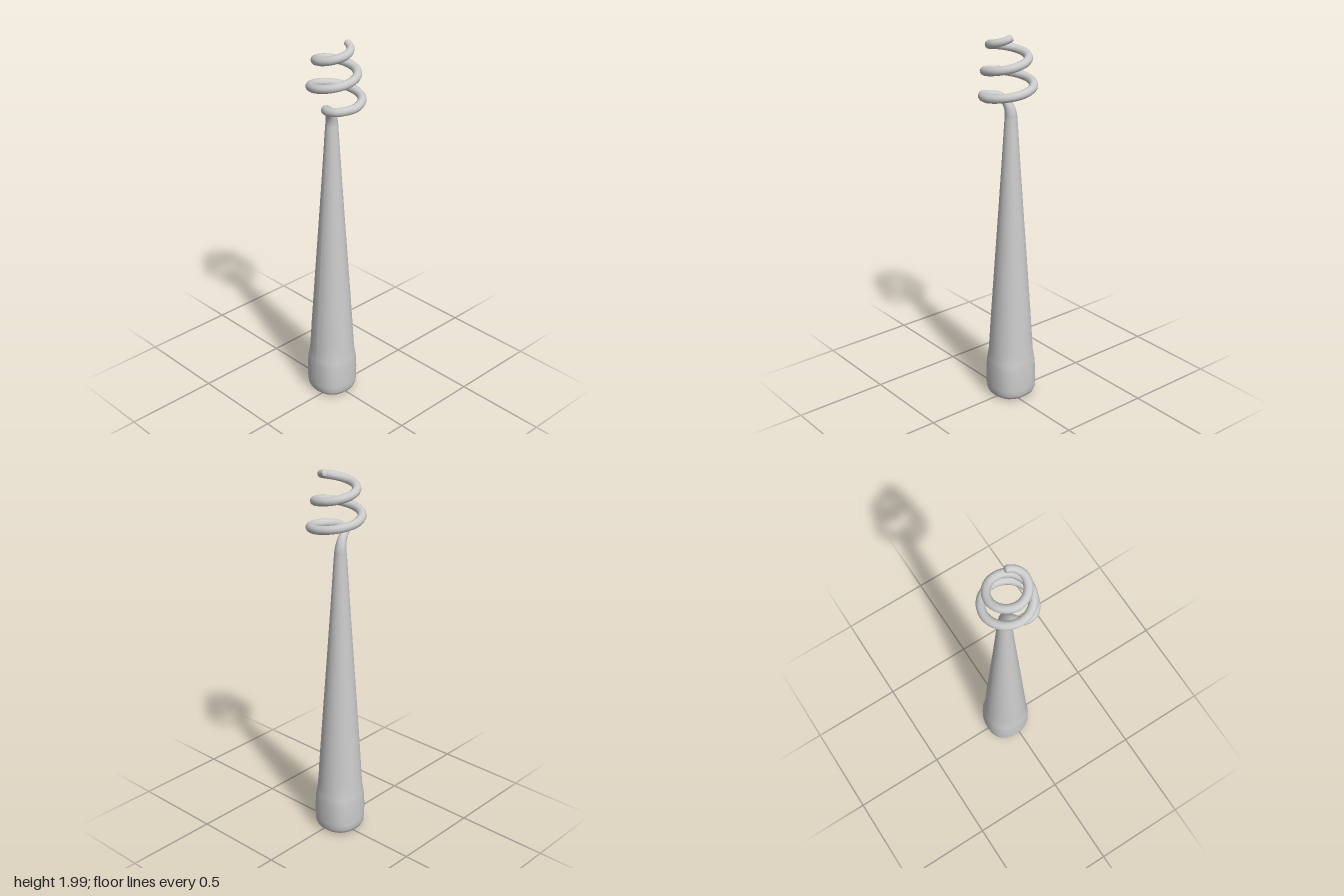
import * as THREE from 'three';

const material = new THREE.MeshStandardMaterial({ color: 0xcccccc });
const CX = -0.025, CZ = 0.005; // axis of the pole

// Turned pole whose foot is slightly squared
function makePole() {
  const profile = [
    [0, 0], [0.07, 0], [0.1, 0.002], [0.114, 0.012], [0.122, 0.03], [0.125, 0.06],
    [0.125, 0.13], [0.124, 0.19], [0.122, 0.215], [0.118, 0.25], [0.115, 0.32],
    [0.109, 0.42], [0.09, 0.7], [0.069, 1], [0.05, 1.28], [0.036, 1.5], [0.032, 1.56],
  ].map(([r, y]) => new THREE.Vector2(r, y));
  const geometry = new THREE.LatheGeometry(profile, 32);
  const p = geometry.attributes.position;
  for (let i = 0; i < p.count; i++) {
    const x = p.getX(i), y = p.getY(i), z = p.getZ(i);
    const fade = 1 - THREE.MathUtils.smoothstep(y, 0.15, 0.3);
    const s = 1 + 0.06 * fade * Math.sin(2 * Math.atan2(z, x)) ** 2;
    p.setXYZ(i, x * s + CX, y, z * s + CZ);
  }
  geometry.computeVertexNormals();
  const mesh = new THREE.Mesh(geometry, material);
  mesh.name = 'pole';
  return mesh;
}

// Tube along a curve, with the radius given at each fraction of its points
function taperedTube(curve, segments, sides, radiusAt) {
  const geometry = new THREE.TubeGeometry(curve, segments, 1, sides, false);
  const p = geometry.attributes.position, v = new THREE.Vector3();
  for (let i = 0; i <= segments; i++) {
    const centre = curve.getPointAt(i / segments);
    const r = radiusAt(i / segments);
    for (let j = 0; j <= sides; j++) {
      const k = i * (sides + 1) + j;
      v.fromBufferAttribute(p, k).sub(centre).multiplyScalar(r).add(centre);
      p.setXYZ(k, v.x, v.y, v.z);
    }
  }
  return geometry;
}

function makeSpring() {
  const spring = new THREE.Group();
  spring.name = 'spring';

  // Neck bending out of the pole
  const points = [
    [CX, 1.54, CZ], [-0.024, 1.585, 0.007], [-0.018, 1.625, 0.022],
    [-0.008, 1.652, 0.05], [0.01, 1.664, 0.08], [0.045, 1.669, 0.095],
  ].map((a) => new THREE.Vector3(...a));

  // Shrinking coil: [radius, height] at every quarter turn from the front
  const quarters = [
    [0.118, 1.668], [0.129, 1.684], [0.125, 1.712], [0.129, 1.745], [0.123, 1.78], [0.108, 1.815],
    [0.1, 1.848], [0.102, 1.88], [0.098, 1.912], [0.083, 1.948], [0.05, 1.985],
  ];
  for (let k = 0.5; k < 9.9; k += 0.25) {
    const i = Math.floor(k), t = k - i;
    const r = THREE.MathUtils.lerp(quarters[i][0], quarters[i + 1][0], t);
    const y = THREE.MathUtils.lerp(quarters[i][1], quarters[i + 1][1], t);
    const a = k * Math.PI / 2;
    points.push(new THREE.Vector3(Math.sin(a) * r, y, Math.cos(a) * r));
  }
  const curve = new THREE.CatmullRomCurve3(points);
  const radiusAt = (t) => {
    const neck = 0.033 - 0.011 * THREE.MathUtils.smoothstep(t, 0, 0.07);
    return neck - 0.004 * THREE.MathUtils.smoothstep(t, 0.93, 1);
  };
  const coil = new THREE.Mesh(taperedTube(curve, 110, 12, radiusAt), material);
  coil.name = 'coil';

  // Blunt end of the wire
  const tip = new THREE.Mesh(new THREE.SphereGeometry(0.018, 12, 8), material);
  tip.name = 'coilTip';
  tip.scale.z = 0.4;
  const end = curve.getPointAt(1);
  tip.position.copy(end);
  tip.lookAt(end.clone().add(curve.getTangentAt(1)));

  spring.add(coil, tip);
  return spring;
}

export function createModel() {
  const model = new THREE.Group();
  model.name = 'springTopPole';
  model.add(makePole(), makeSpring());
  return model;
}
